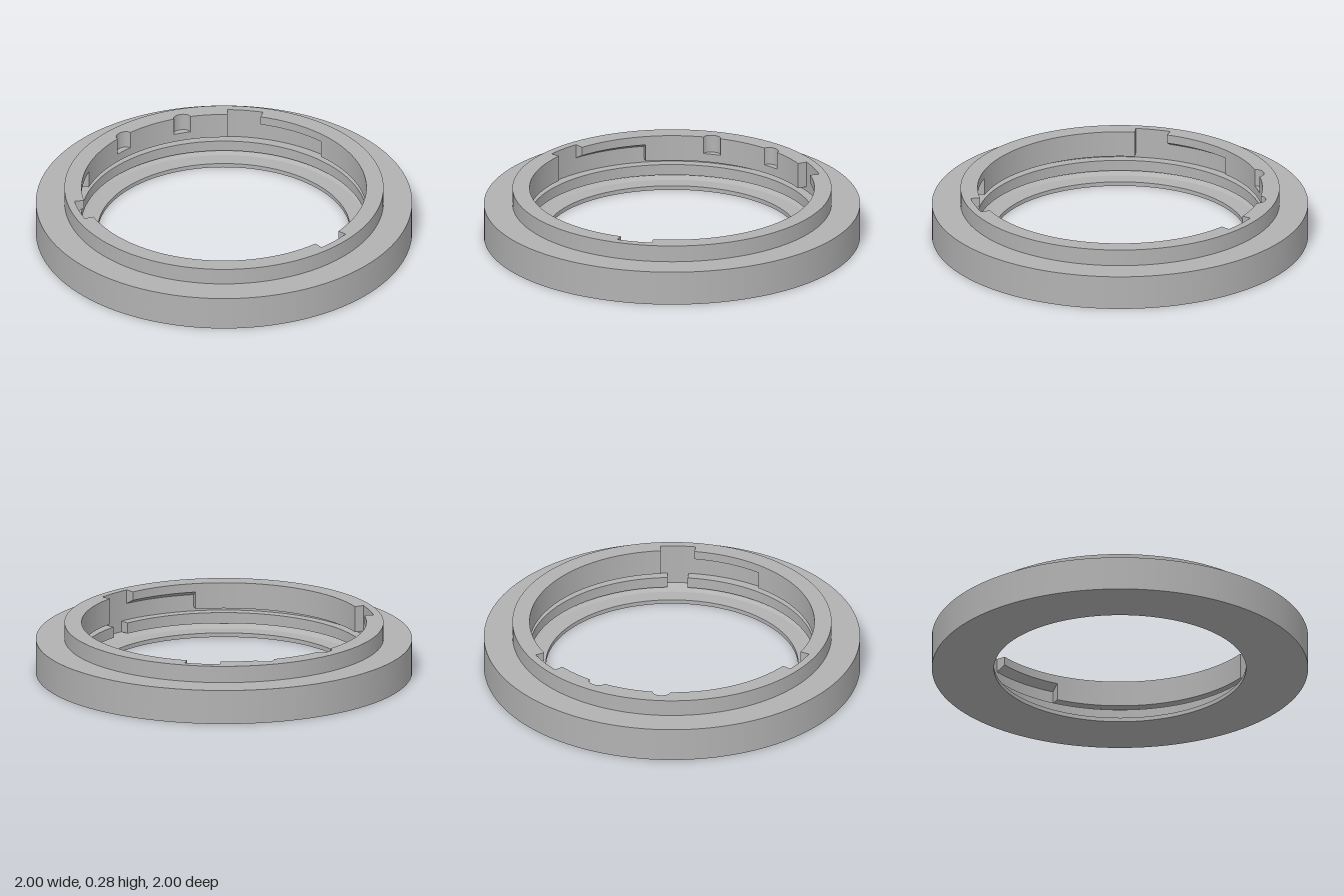
import * as THREE from 'three';
import { toCreasedNormals } from 'three/addons/utils/BufferGeometryUtils.js';

const BORE = 0.757, DEEP = 0.807, LIP = 0.67;
const EPS = 0.01;

// Angular spans in degrees, counter-clockwise from +x seen from above
const notches = [[28.5, 42], [143.5, 156.8], [263.3, 276.7]];
const slots = [[0.5, 28.5], [115, 143.5], [235, 263.3]];
const key = [[266, 274]];
const scallops = [60.5, 88];

const within = (a, spans) => spans.some(([s, e]) => a > s && a < e);

// Inner radius that steps out to the deep radius inside the given spans
const bore = (spans, withScallops) => (a) => {
  if (within(a, spans)) return DEEP;
  let r = BORE;
  if (withScallops) {
    for (const c of scallops) {
      const d = THREE.MathUtils.degToRad(a - c) * BORE;
      if (Math.abs(d) < 0.046) r = BORE + 0.75 * Math.sqrt(0.046 ** 2 - d * d);
    }
  }
  return r;
};
const round = (r) => () => r;

function ringAngles() {
  const list = [];
  for (let a = 0; a < 360; a += 2) list.push(a);
  for (const [s, e] of [...notches, ...slots, ...key]) list.push(s - EPS, s + EPS, e - EPS, e + EPS);
  for (const c of scallops) for (let d = -3.6; d <= 3.61; d += 0.4) list.push(c + d);
  list.sort((p, q) => p - q);
  return list.filter((a, i) => i === 0 || a - list[i - 1] > 1e-4);
}

// Sweep a closed profile whose radii may depend on the angle
function sweepRing(rows) {
  const angles = ringAngles();
  const point = ([radius, y], a) => {
    const t = THREE.MathUtils.degToRad(a), r = radius(a);
    return new THREE.Vector3(r * Math.cos(t), y, -r * Math.sin(t));
  };
  const positions = [];
  const tri = new THREE.Triangle();
  const addTriangle = (p, q, s) => {
    if (tri.set(p, q, s).getArea() < 1e-9) return;
    for (const v of [p, q, s]) positions.push(v.x, v.y, v.z);
  };
  rows.forEach((low, i) => {
    const high = rows[(i + 1) % rows.length];
    angles.forEach((a, k) => {
      const b = angles[(k + 1) % angles.length];
      const p = point(low, a), q = point(low, b), s = point(high, b), t = point(high, a);
      addTriangle(p, q, s);
      addTriangle(p, s, t);
    });
  });
  const geometry = new THREE.BufferGeometry();
  geometry.setAttribute('position', new THREE.Float32BufferAttribute(positions, 3));
  return toCreasedNormals(geometry, Math.PI / 7);
}

export function createModel() {
  const group = new THREE.Group();
  group.name = 'mountRing';
  const grey = new THREE.MeshStandardMaterial({ color: 0xb2b2b2 });
  grey.name = 'grey';

  const rim = bore(notches, true);
  const slotted = [...notches, ...slots];
  const profile = [
    // underside, flange and raised collar
    [round(LIP), 0], [round(1), 0], [round(1), 0.185],
    [round(0.848), 0.185], [round(0.848), 0.275],
    // entry notches and scallops, then locking slots with a sloped roof
    [rim, 0.275], [rim, 0.228],
    [bore(slotted, true), 0.2], [bore(slotted, true), 0.18],
    [bore(slotted, false), 0.18], [bore(slotted, false), 0.134],
    // upper groove
    [round(DEEP), 0.134], [round(DEEP), 0.11],
    // middle band with its keyway
    [bore(key, false), 0.11], [bore(key, false), 0.051],
    // lower undercut and bottom lip
    [round(DEEP), 0.051], [round(BORE), 0.023], [round(LIP), 0.023],
  ];

  const body = new THREE.Mesh(sweepRing(profile), grey);
  body.name = 'ringBody';
  group.add(body);
  return group;
}
